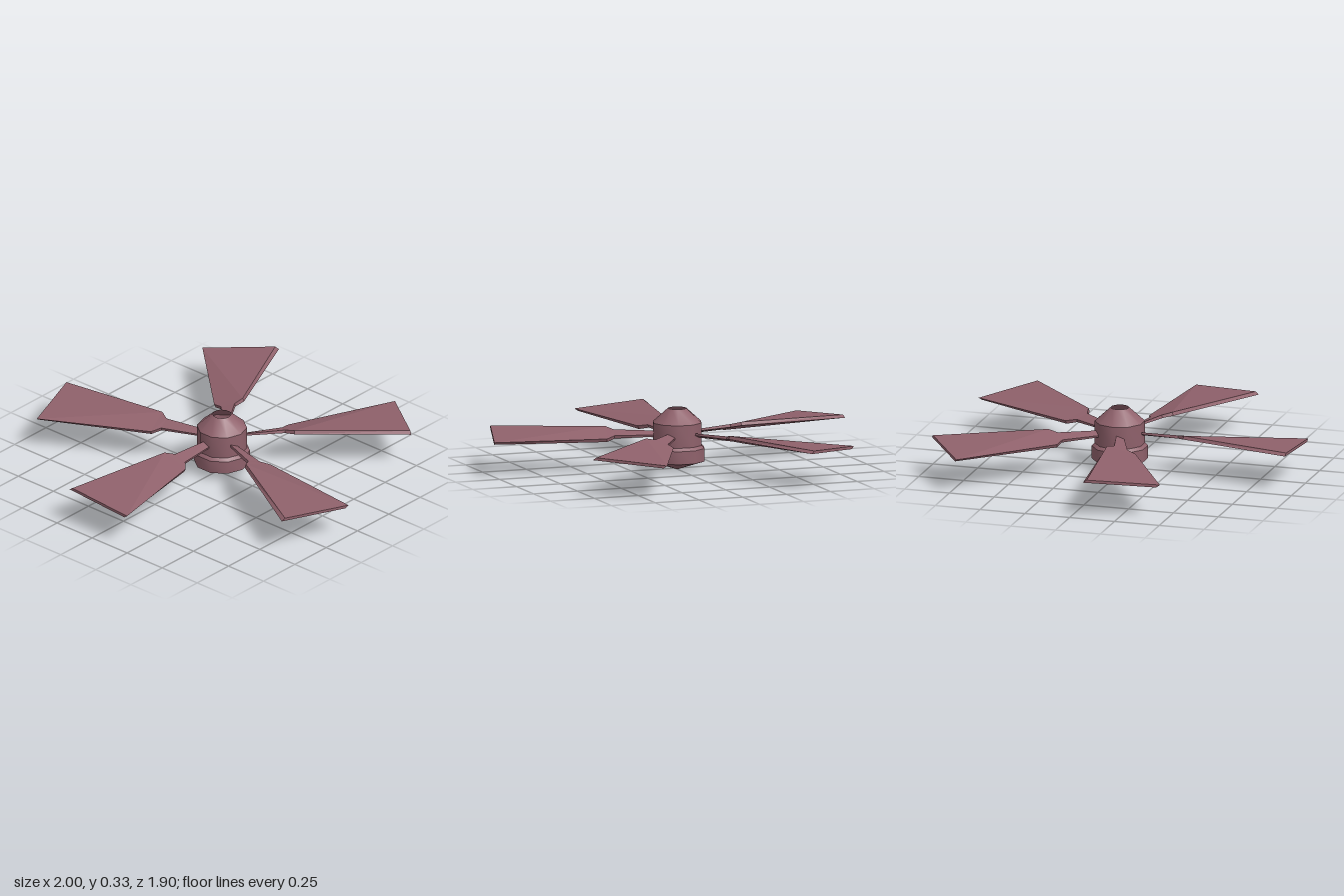
import * as THREE from 'three';
import { toCreasedNormals } from 'three/addons/utils/BufferGeometryUtils.js';

// Twisted blade pointing along +z, lofted through four-cornered sections.
function bladeGeometry() {
  // [radius, half width, edge bevel, leading top y, leading outer y]
  const sections = [
    [0.1, 0.02, 0.002, 0.206, 0.196],
    [0.336, 0.038, 0.005, 0.212, 0.196],
    [0.378, 0.08, 0.008, 0.224, 0.206],
    [0.986, 0.205, 0.02, 0.214, 0.2],
  ];
  const midY = 0.193;
  const loops = sections.map(([r, w, b, top, edge]) => [
    [-w, edge, r],
    [-w + b, top, r],
    [w, 2 * midY - edge, r],
    [w - b, 2 * midY - top, r],
  ]);
  const positions = [];
  const quad = (a, b, c, d) => positions.push(...a, ...b, ...c, ...a, ...c, ...d);
  for (let i = 0; i < loops.length - 1; i++) {
    for (let k = 0; k < 4; k++) {
      const n = (k + 1) % 4;
      quad(loops[i][k], loops[i + 1][k], loops[i + 1][n], loops[i][n]);
    }
  }
  const root = loops[0];
  const tip = loops[loops.length - 1];
  quad(root[0], root[1], root[2], root[3]);
  quad(tip[3], tip[2], tip[1], tip[0]);
  const geometry = new THREE.BufferGeometry();
  geometry.setAttribute('position', new THREE.Float32BufferAttribute(positions, 3));
  geometry.computeVertexNormals();
  return geometry;
}

export function createModel() {
  const model = new THREE.Group();
  model.name = 'rotor';
  const paint = new THREE.MeshStandardMaterial({ color: 0x8f616b, side: THREE.DoubleSide });
  paint.name = 'dustyRose';

  // Ten-sided hub: pointed base, wide collar, body and sloped open top
  const profile = [
    [0, 0], [0.15, 0.048], [0.15, 0.118], [0.134, 0.134], [0.134, 0.255], [0.05, 0.33],
  ].map(([x, y]) => new THREE.Vector2(x, y));
  const hubGeometry = new THREE.LatheGeometry(profile, 10, Math.PI / 10);
  const hub = new THREE.Mesh(toCreasedNormals(hubGeometry, 0.68), paint);
  hub.name = 'hub';
  model.add(hub);

  // Five blades around the hub
  const geometry = bladeGeometry();
  for (let i = 0; i < 5; i++) {
    const blade = new THREE.Mesh(geometry, paint);
    blade.name = `blade${i + 1}`;
    blade.rotation.y = (i * Math.PI * 2) / 5;
    model.add(blade);
  }

  // The odd blade count puts the hub slightly behind the middle
  for (const part of model.children) part.position.z = -0.036;
  return model;
}
